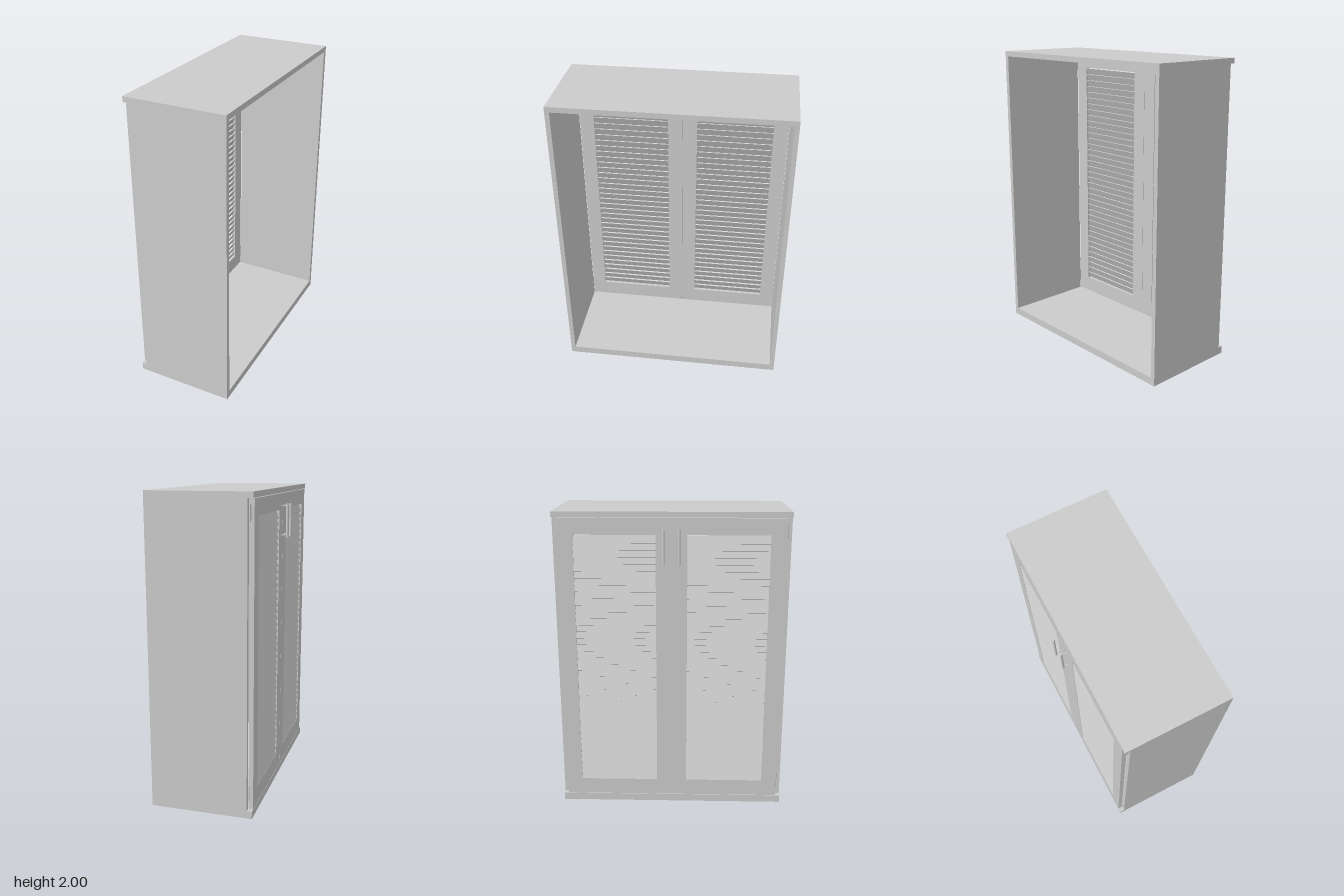
import * as THREE from 'three';

const material = new THREE.MeshStandardMaterial({ color: 0xcccccc, side: THREE.DoubleSide });

// Box given by its minimum and maximum corners
function box(name, parent, [x0, y0, z0], [x1, y1, z1]) {
  const mesh = new THREE.Mesh(new THREE.BoxGeometry(x1 - x0, y1 - y0, z1 - z0), material);
  mesh.position.set((x0 + x1) / 2, (y0 + y1) / 2, (z0 + z1) / 2);
  mesh.name = name;
  parent.add(mesh);
  return mesh;
}

function rod(name, parent, radius, length, x, y, z) {
  const mesh = new THREE.Mesh(new THREE.CylinderGeometry(radius, radius, length, 20), material);
  mesh.position.set(x, y, z);
  mesh.name = name;
  parent.add(mesh);
  return mesh;
}

const FRONT = -0.31, BACK = 0.355, DOOR_BACK = -0.281;
const HALF = 0.75, BOTTOM = 0.05, TOP = 1.965;

// Louvred door on one side of the centre line, s = +1 or -1
function createDoor(s) {
  const door = new THREE.Group();
  door.name = s > 0 ? 'leftDoor' : 'rightDoor';
  const y0 = 0.053, y1 = 1.962;
  const panel = (name, xa, xb, ya, yb, za, zb) =>
    box(name, door, [xa, ya, Math.min(s * za, s * zb)], [xb, yb, Math.max(s * za, s * zb)]);

  // Frame
  panel('innerStile', FRONT, DOOR_BACK, y0, y1, 0.001, 0.1);
  panel('outerStile', FRONT, DOOR_BACK, y0, y1, 0.62, 0.719);
  panel('bottomRail', FRONT, DOOR_BACK, y0, 0.165, 0.1, 0.62);
  panel('topRail', FRONT, DOOR_BACK, 1.857, y1, 0.1, 0.62);

  // Slats slope down towards the outside and overlap each other
  const count = 38, pitch = 0.0443;
  const slatGeometry = new THREE.BoxGeometry(0.006, 0.054, 0.52);
  for (let i = 0; i < count; i++) {
    const slat = new THREE.Mesh(slatGeometry, material);
    slat.name = 'slat';
    slat.position.set(-0.296, 0.188 + i * pitch, s * 0.36);
    slat.rotation.z = -0.4;
    door.add(slat);
  }

  // Bar handle on two posts
  const handle = new THREE.Group();
  handle.name = 'handle';
  rod('handleBar', handle, 0.008, 0.22, -0.351, 1.785, s * 0.049);
  for (const y of [1.69, 1.88]) {
    rod('handlePost', handle, 0.004, 0.043, -0.33, y, s * 0.049).rotation.z = Math.PI / 2;
  }
  door.add(handle);

  // Hinges beside the outer edge
  for (const y of [0.16, 1.88]) {
    const hinge = new THREE.Group();
    hinge.name = 'hinge';
    rod('hingePin', hinge, 0.005, 0.1, -0.283, y, s * 0.722);
    box('hingeLeaf', hinge,
      [-0.29, y - 0.04, s * 0.7195 - 0.001], [-0.276, y + 0.04, s * 0.7195 + 0.001]);
    door.add(hinge);
  }
  return door;
}

export function createModel() {
  const cabinet = new THREE.Group();
  cabinet.name = 'cabinet';

  // Carcass, open at the rear
  box('topPanel', cabinet, [FRONT, TOP, -HALF], [BACK, 2, HALF]);
  box('bottomPanel', cabinet, [FRONT, 0, -HALF], [BACK, BOTTOM, HALF]);
  box('leftSide', cabinet, [-0.277, BOTTOM, 0.72], [BACK, TOP, HALF]);
  box('rightSide', cabinet, [-0.277, BOTTOM, -HALF], [BACK, TOP, -0.72]);

  for (const s of [1, -1]) cabinet.add(createDoor(s));
  return cabinet;
}
